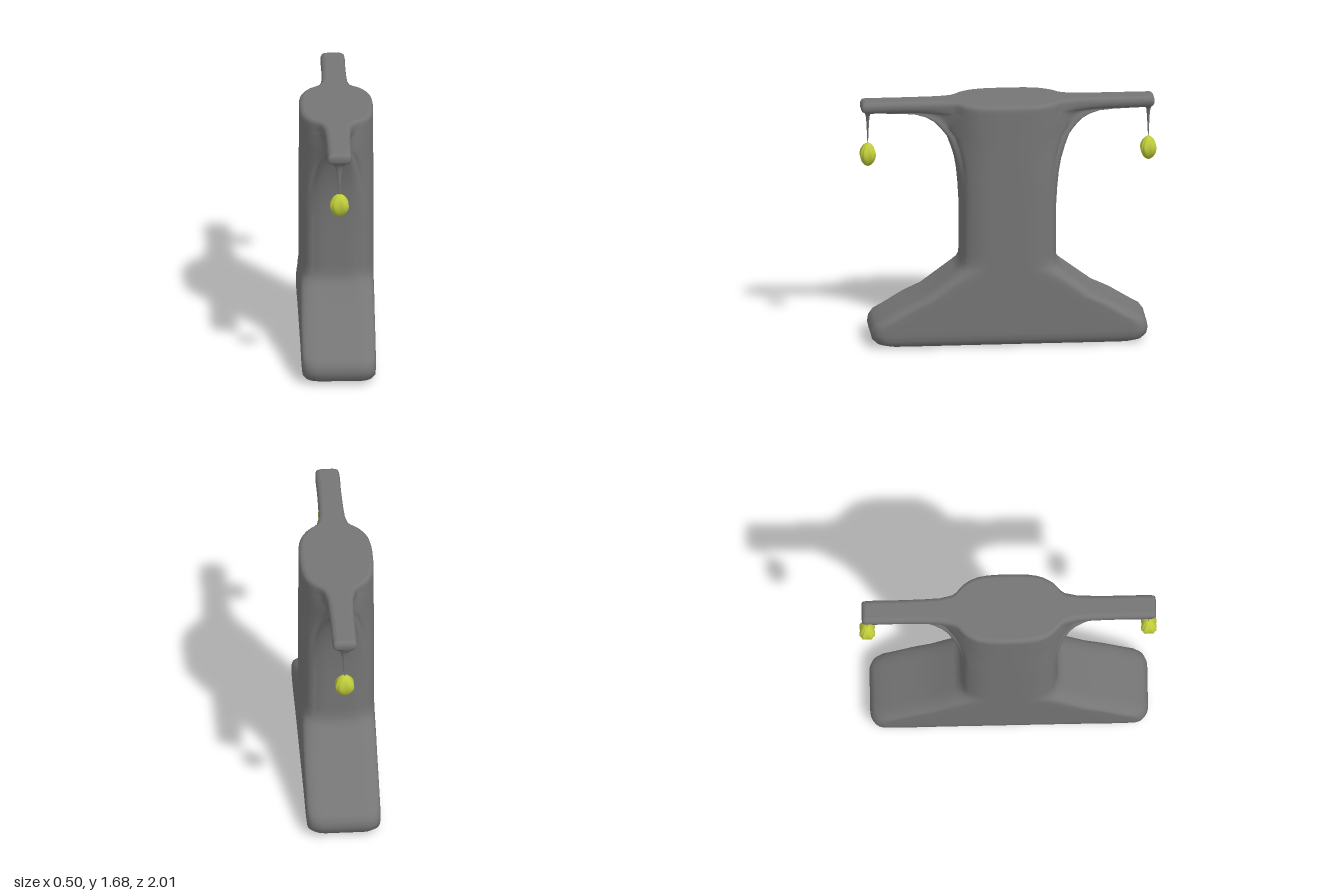
import * as THREE from 'three';

const grey = new THREE.MeshStandardMaterial({ color: 0x757575 });
const green = new THREE.MeshStandardMaterial({ color: 0xbecb3a });
const { lerp, clamp, smoothstep } = THREE.MathUtils;
const PER_LOOP = 96, TOP = 1.684;

// Quarter outlines as [z, x], from the nose (x = 0) round to the side (z = 0)
function footQuarter(Z) {
  return [[Z, 0], [Z, 0.09], [Z, 0.15], [Z - 0.008, 0.19], [Z - 0.03, 0.225],
    [Z - 0.065, 0.245], [Z - 0.12, 0.25], [Z * 0.45, 0.25], [0, 0.25]];
}

// A rounded column that grows an arm of half width w as its reach Z increases
function columnQuarter(Z, w) {
  const t = clamp((Z - 0.33) / 0.12, 0, 1);
  const column = [[Z, 0], [Z, 0.08], [Z - 0.005, 0.12], [Z - 0.015, 0.15], [0.3, 0.18],
    [0.27, 0.21], [0.2, 0.24], [0.12, 0.25], [0, 0.25]];
  const arm = [[Z, 0], [Z, w * 0.6], [Z - 0.006, w * 0.92], [Z - 0.025, w], [(Z + 0.355) / 2, w + 0.002],
    [0.38, 0.108], [0.3, 0.185], [0.2, 0.235], [0, 0.25]];
  return column.map((p, i) => [lerp(p[0], arm[i][0], t), lerp(p[1], arm[i][1], t)]);
}

// How far a rounded edge of radius r is set in, at distance d from its face
function edgeInset(d, r) {
  const h = 1 - clamp(d / r, 0, 1);
  return r * (1 - Math.sqrt(1 - h * h));
}

// Full smooth outline at height y with reach Z along z
function outline([y, Z]) {
  const blend = smoothstep(y, 0.48, 0.6); // foot into column
  const inset = edgeInset(y, 0.07) + edgeInset(TOP - y, 0.03);
  const w = 0.08 - 0.025 * Math.min(smoothstep(y, 1.5, 1.603), 1 - smoothstep(y, 1.603, 1.63));
  const column = columnQuarter(Z, w);
  const q = footQuarter(Z).map((p, i) => {
    const x = lerp(p[1], column[i][1], blend);
    return [lerp(p[0], column[i][0], blend), x - inset * Math.min(1, x / 0.08)];
  });
  const back = q.slice(0, -1).reverse().map(([z, x]) => [-z, x]);
  const half = [...q, ...back];
  const other = half.slice(1, -1).reverse().map(([z, x]) => [z, -x]);
  const curve = new THREE.CatmullRomCurve3(
    [...half, ...other].map(([z, x]) => new THREE.Vector3(x, y, z)), true);
  return Array.from({ length: PER_LOOP }, (_, i) => curve.getPoint(i / PER_LOOP));
}

function loft(loops) {
  const pos = [], index = [];
  loops.forEach((loop) => loop.forEach((p) => pos.push(p.x, p.y, p.z)));
  for (let j = 0; j < loops.length - 1; j++) {
    for (let i = 0; i < PER_LOOP; i++) {
      const a = j * PER_LOOP + i, b = j * PER_LOOP + (i + 1) % PER_LOOP;
      index.push(a, b, b + PER_LOOP, a, b + PER_LOOP, a + PER_LOOP);
    }
  }
  const geo = new THREE.BufferGeometry();
  geo.setAttribute('position', new THREE.Float32BufferAttribute(pos, 3));
  geo.setIndex(index);
  geo.computeVertexNormals();
  return geo;
}

// Flat cap facing up (side = 1) or down (side = -1)
function cap(loop, side) {
  const shape = new THREE.Shape(loop.map((p) => new THREE.Vector2(p.x, -side * p.z)));
  return new THREE.ShapeGeometry(shape).rotateX(-side * Math.PI / 2).translate(0, loop[0].y, 0);
}

function mesh(name, geo, mat) {
  const m = new THREE.Mesh(geo, mat);
  m.name = name;
  return m;
}

function createBody() {
  // Side profiles as [height, reach along z]
  const foot = [[0, 0.8], [0.006, 0.855], [0.02, 0.9], [0.05, 0.928], [0.09, 0.937], [0.13, 0.93],
    [0.165, 0.905], [0.195, 0.85], [0.28, 0.71], [0.335, 0.59], [0.42, 0.475], [0.5, 0.37]];
  const column = [[0.53, 0.34], [0.57, 0.326], [0.63, 0.323], [0.95, 0.324], [1.08, 0.332],
    [1.18, 0.342], [1.27, 0.358], [1.36, 0.385], [1.44, 0.415], [1.49, 0.455]];
  const arms = [[1.54, 0.505], [1.57, 0.56], [1.59, 0.63], [1.599, 0.73], [1.603, 0.85], [1.606, 0.96],
    [1.615, 0.985], [1.632, 0.993], [1.655, 0.993], [1.67, 0.988], [1.68, 0.98], [TOP, 0.968]];
  const loops = [...foot, ...column, ...arms].map(outline);
  const body = new THREE.Group();
  body.name = 'body';
  body.add(
    mesh('footColumnAndArms', loft(loops), grey),
    mesh('topFace', cap(loops.at(-1), 1), grey),
    mesh('underside', cap(loops[0], -1), grey));
  body.position.z = 0.005;
  return body;
}

// Tapering strand with a four-lobed pod at its end
function createPendant(z) {
  const g = new THREE.Group();
  g.name = z > 0 ? 'frontPendant' : 'backPendant';
  const profile = [[0.003, 1.37], [0.007, 1.42], [0.012, 1.48], [0.018, 1.54],
    [0.026, 1.58], [0.045, 1.6], [0.068, 1.615]].map(([r, y]) => new THREE.Vector2(r, y));
  const strand = mesh('strand', new THREE.LatheGeometry(profile, 20), grey);
  strand.scale.z = 0.55;

  // Pod: squarish in plan at its middle, with a narrow groove down each corner
  const podGeo = new THREE.SphereGeometry(1, 64, 24);
  const p = podGeo.attributes.position;
  for (let i = 0; i < p.count; i++) {
    const x = p.getX(i), y = p.getY(i), w = p.getZ(i);
    const ring = Math.hypot(x, w), corner = Math.abs(Math.sin(2 * Math.atan2(w, x)));
    const f = 1 + 0.28 * ring ** 3 * corner ** 2 - 0.16 * ring * corner ** 30;
    p.setXYZ(i, x * f * 0.06, y * 0.08, w * f * 0.05);
  }
  podGeo.computeVertexNormals();
  const pod = mesh('pod', podGeo, green);
  pod.position.y = 1.305;
  g.add(strand, pod);
  g.position.z = z;
  return g;
}

export function createModel() {
  const model = new THREE.Group();
  model.name = 'pedestalWithHangingPods';
  model.add(createBody());
  for (const z of [0.95, -0.95]) model.add(createPendant(z));
  return model;
}
